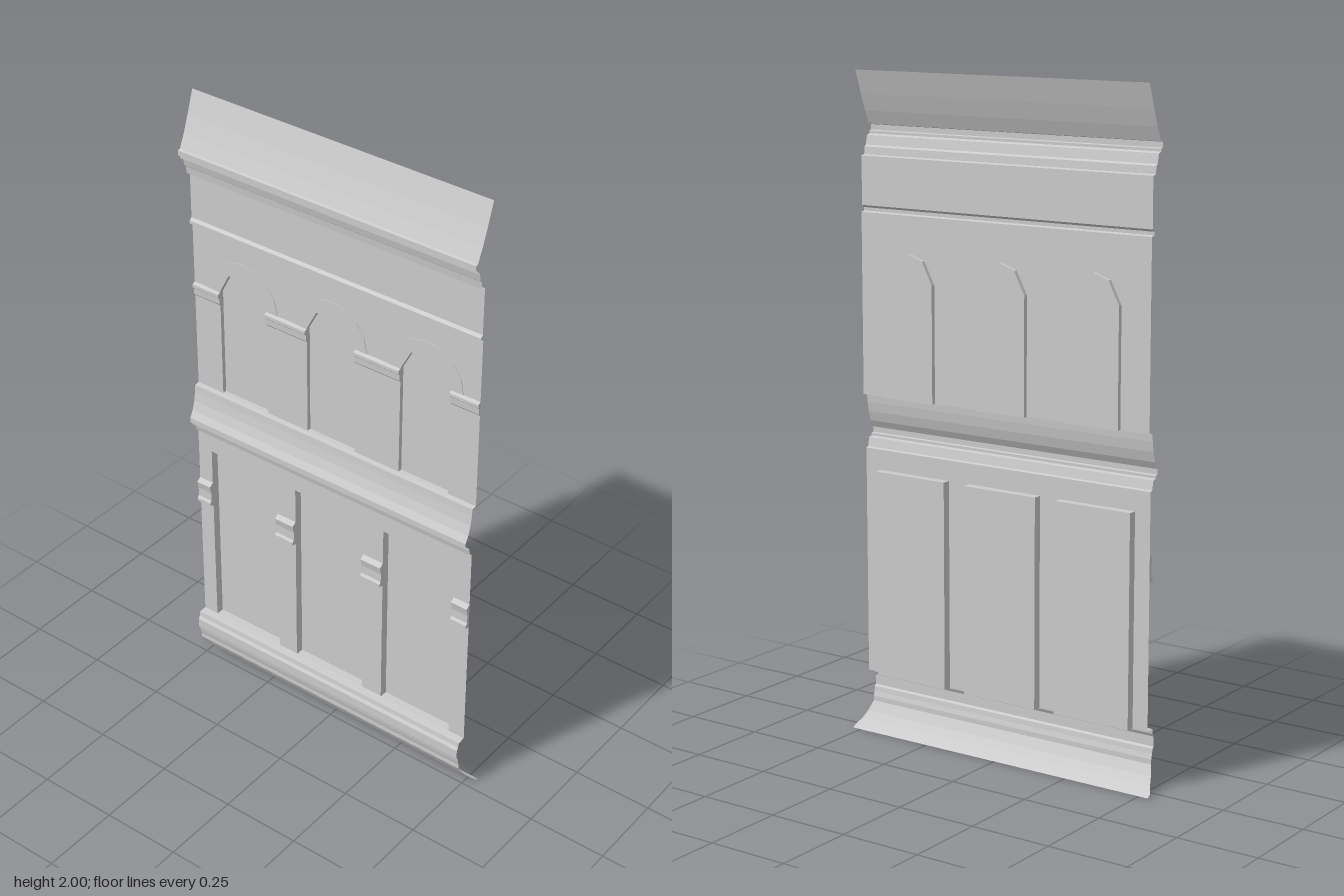
import * as THREE from 'three';

const material = new THREE.MeshStandardMaterial({ color: 0xcccccc, side: THREE.DoubleSide, flatShading: true });
const HALF = 0.5;

function add(parent, name, geometry, z = 0) {
  const mesh = new THREE.Mesh(geometry, material);
  mesh.name = name;
  mesh.position.z = z;
  parent.add(mesh);
  return mesh;
}

// Join a list of quads (four corners each, counter-clockwise) into one geometry
function quads(list) {
  const pos = [];
  for (const [a, b, c, d] of list) pos.push(...a, ...b, ...c, ...a, ...c, ...d);
  const g = new THREE.BufferGeometry();
  g.setAttribute('position', new THREE.Float32BufferAttribute(pos, 3));
  g.computeVertexNormals();
  return g;
}

// Horizontal moulding: profile of [y, z, extra half width] from bottom to top
function moulding(profile) {
  const list = [];
  for (let i = 0; i < profile.length - 1; i++) {
    const [y0, z0, e0 = 0] = profile[i], [y1, z1, e1 = 0] = profile[i + 1];
    const w0 = HALF + e0, w1 = HALF + e1;
    list.push([[-w0, y0, z0], [w0, y0, z0], [w1, y1, z1], [-w1, y1, z1]]);
  }
  return quads(list);
}

// Short capped moulding between x0 and x1
function block(profile, x0, x1) {
  const shape = new THREE.Shape(profile.map(([y, z]) => new THREE.Vector2(-z, y)));
  const g = new THREE.ExtrudeGeometry(shape, { depth: x1 - x0, bevelEnabled: false });
  g.rotateY(Math.PI / 2);
  return g.translate(x0, 0, 0);
}

// Sunk panel: reveal around the outline plus a back plate
function recess(parent, name, outline, zFront, zBack) {
  const group = new THREE.Group();
  group.name = name;
  const list = outline.map(([x, y], i) => {
    const [u, v] = outline[(i + 1) % outline.length];
    return [[x, y, zFront], [x, y, zBack], [u, v, zBack], [u, v, zFront]];
  });
  add(group, 'reveal', quads(list));
  const shape = new THREE.Shape(outline.map(p => new THREE.Vector2(...p)));
  add(group, 'panelBack', new THREE.ShapeGeometry(shape), zBack);
  parent.add(group);
}

// Flat wall with openings notched up from its lower edge
function wall(y0, y1, openings) {
  const pts = [[-HALF, y0], ...openings.flat(), [HALF, y0], [HALF, y1], [-HALF, y1]];
  return new THREE.ShapeGeometry(new THREE.Shape(pts.map(p => new THREE.Vector2(...p))));
}

// Solid wall spans left between the openings
function piers(openings) {
  const edges = [-HALF, ...openings.flatMap(o => [o[0][0], o[o.length - 1][0]]), HALF];
  const spans = [];
  for (let i = 0; i < edges.length; i += 2) spans.push([edges[i], edges[i + 1]]);
  return spans;
}

export function createModel() {
  const model = new THREE.Group();
  model.name = 'wallPanel';

  // Skirt curling back at the foot, widening at both ends
  add(model, 'footSkirt', moulding([
    [0, -0.044, 0.03], [0.008, -0.03, 0.03], [0.025, -0.012, 0.018],
    [0.045, 0.005, 0.01], [0.075, 0.022, 0],
  ]));
  add(model, 'baseMoulding', moulding([
    [0.075, 0.022], [0.09, 0.022], [0.105, 0.026], [0.12, 0.028],
    [0.125, 0.034], [0.155, 0.034], [0.165, 0.028], [0.18, 0.026], [0.182, 0],
  ]));

  // Lower storey with three rectangular panels
  const panels = [[-0.45, -0.197], [-0.13, 0.122], [0.193, 0.445]].map(([a, b]) =>
    [[a, 0.18], [a, 0.813], [b, 0.813], [b, 0.18]]);
  add(model, 'lowerWall', wall(0.18, 0.875, panels));
  panels.forEach(p => recess(model, 'lowerPanel', p, 0, -0.026));
  const band = [[0.612, 0], [0.615, 0.015], [0.625, 0.015], [0.632, 0.009], [0.66, 0.009], [0.685, 0.014], [0.695, 0]];
  piers(panels).forEach(([a, b]) => add(model, 'pierBand', block(band, a, b)));

  // Middle cornice and sloping sill
  add(model, 'middleCornice', moulding([
    [0.875, 0], [0.878, 0.008], [0.905, 0.014], [0.908, 0.026], [0.916, 0.026],
    [0.918, 0.034], [0.934, 0.034], [0.955, 0.022], [0.985, 0.013], [1.015, 0.008],
    [1.038, 0.006], [1.04, -0.01],
  ]));

  // Upper storey with three arched niches
  const centres = [-0.32, -0.005, 0.32];
  const niches = centres.map(c => [
    [-0.085, 1.04], [-0.085, 1.39], [-0.05, 1.457], [0, 1.475], [0.05, 1.457], [0.085, 1.39], [0.085, 1.04],
  ].map(([x, y]) => [c + x, y]));
  add(model, 'upperWall', wall(1.04, 1.585, niches), -0.01);
  niches.forEach(p => recess(model, 'archedNiche', p, -0.01, -0.023));
  const impost = [[1.345, -0.01], [1.35, -0.006], [1.37, -0.005], [1.375, 0], [1.385, 0], [1.39, -0.01]];
  piers(niches).forEach(([a, b]) => add(model, 'impost', block(impost, a, b)));

  // Thin hood around each arch
  niches.forEach((p, i) => {
    const inner = p.slice(1, -1).map(q => new THREE.Vector2(...q));
    const outer = [];
    for (let k = 0; k <= 8; k++) {
      const t = Math.PI * k / 8;
      outer.push(new THREE.Vector2(centres[i] + 0.125 * Math.cos(t), 1.39 + 0.123 * Math.sin(t)));
    }
    const hood = new THREE.Shape([...inner, ...outer]);
    add(model, 'archHood', new THREE.ExtrudeGeometry(hood, { depth: 0.002, bevelEnabled: false }), -0.01);
  });

  // String course, frieze and top cornice
  add(model, 'stringCourse', moulding([[1.585, -0.01], [1.588, 0.002], [1.598, 0.002], [1.605, -0.007]]));
  add(model, 'frieze', moulding([[1.605, -0.007], [1.75, -0.007]]));
  add(model, 'topCornice', moulding([
    [1.75, -0.007], [1.753, 0.006], [1.775, 0.008], [1.78, 0.014], [1.808, 0.02],
    [1.812, 0.032], [1.82, 0.032], [1.822, 0.039], [1.838, 0.039], [1.84, 0.03],
  ]));

  // Flap leaning back above the cornice
  add(model, 'topFlap', moulding([[1.84, 0.03], [1.88, 0.012], [1.93, -0.007], [2, -0.031]]));
  return model;
}
